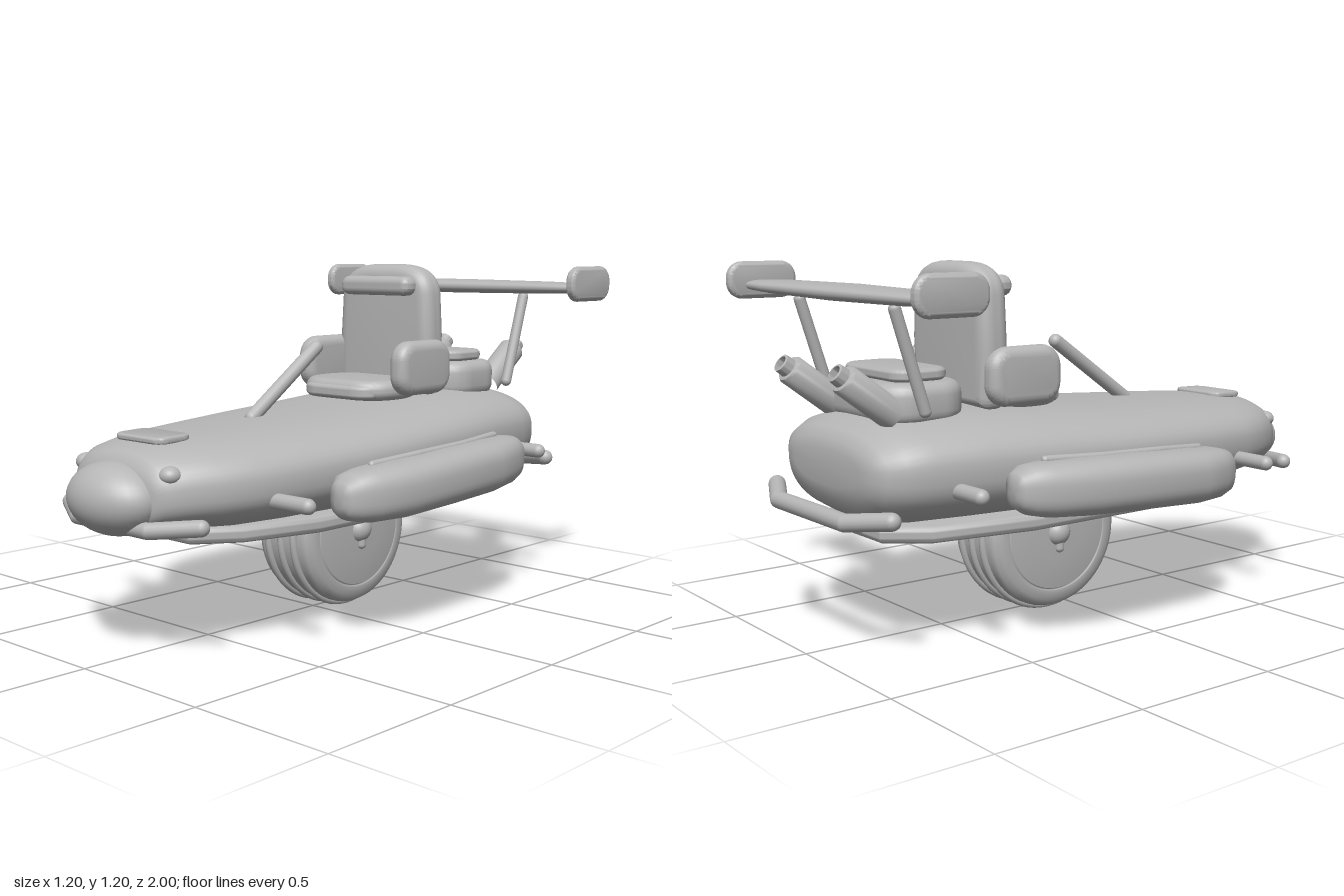
import * as THREE from 'three';
import { toCreasedNormals } from 'three/addons/utils/BufferGeometryUtils.js';

const V = (x, y, z) => new THREE.Vector3(x, y, z);

// Skin over cross-sections [z, cx, cy, halfWidth, up, down], ordered by growing z
function loft(sections, n = 2.4, ring = 40) {
  const pos = [], idx = [];
  const sgnPow = (v) => Math.sign(v) * Math.pow(Math.abs(v), 2 / n);
  for (const [z, cx, cy, w, up, down] of sections) {
    for (let j = 0; j < ring; j++) {
      const a = (j / ring) * Math.PI * 2, s = sgnPow(Math.sin(a));
      pos.push(cx + w * sgnPow(Math.cos(a)), cy + s * (s > 0 ? up : down), z);
    }
  }
  const last = sections.length - 1;
  for (let i = 0; i < last; i++) {
    for (let j = 0; j < ring; j++) {
      const k = (j + 1) % ring, a = i * ring + j, b = i * ring + k;
      idx.push(a, b, a + ring, b, b + ring, a + ring);
    }
  }
  // end caps
  for (const i of [0, last]) {
    const c = pos.length / 3;
    pos.push(sections[i][1], sections[i][2], sections[i][0]);
    for (let j = 0; j < ring; j++) {
      const a = i * ring + j, b = i * ring + (j + 1) % ring;
      if (i) idx.push(c, a, b); else idx.push(c, b, a);
    }
  }
  const g = new THREE.BufferGeometry();
  g.setAttribute('position', new THREE.Float32BufferAttribute(pos, 3));
  g.setIndex(idx);
  g.computeVertexNormals();
  return g;
}

// Extruded shape with a soft bevel, centred on its depth
function padded(shape, depth, bevel) {
  const g = new THREE.ExtrudeGeometry(shape, {
    depth: depth - 2 * bevel, bevelThickness: bevel, bevelSize: bevel, bevelOffset: -bevel,
    bevelSegments: 5, curveSegments: 10,
  });
  g.translate(0, 0, -(depth - 2 * bevel) / 2);
  return toCreasedNormals(g, 0.8);
}

// Rounded slab w x h, thickness d
function slab(w, h, d, r, bevel) {
  const s = new THREE.Shape(), x = w / 2, y = h / 2;
  s.moveTo(-x + r, -y);
  s.lineTo(x - r, -y); s.absarc(x - r, -y + r, r, -Math.PI / 2, 0);
  s.lineTo(x, y - r); s.absarc(x - r, y - r, r, 0, Math.PI / 2);
  s.lineTo(-x + r, y); s.absarc(-x + r, y - r, r, Math.PI / 2, Math.PI);
  s.lineTo(-x, -y + r); s.absarc(-x + r, -y + r, r, Math.PI, Math.PI * 1.5);
  return padded(s, d, bevel);
}
const flat = (...a) => slab(...a).rotateX(-Math.PI / 2);
const upright = (...a) => slab(...a).rotateY(Math.PI / 2);

export function createModel() {
  const model = new THREE.Group();
  model.name = 'hoverRacer';
  const grey = new THREE.MeshStandardMaterial({ color: 0xb6b6b6 });
  grey.name = 'grey';

  const add = (name, geo, x = 0, y = 0, z = 0) => {
    const m = new THREE.Mesh(geo, grey);
    m.name = name;
    m.position.set(x, y, z);
    model.add(m);
    return m;
  };
  const rod = (name, a, b, r) => {
    const m = add(name, new THREE.CapsuleGeometry(r, a.distanceTo(b) - 2 * r, 6, 16));
    m.position.copy(a).lerp(b, 0.5);
    m.quaternion.setFromUnitVectors(V(0, 1, 0), b.clone().sub(a).normalize());
    return m;
  };
  const ball = (name, rx, ry, rz, x, y, z) =>
    add(name, new THREE.SphereGeometry(1, 32, 20).scale(rx, ry, rz), x, y, z);
  // Bent bar with rounded joints
  const bar = (name, pts, r) => pts.slice(1).forEach((p, i) => {
    const dir = p.clone().sub(pts[i]).normalize().multiplyScalar(r);
    rod(name, pts[i].clone().sub(dir), p.clone().add(dir), r);
  });

  // Hull
  add('hull', loft([
    [-0.915, 0, 0.59, 0.2, 0.05, 0.06], [-0.905, 0, 0.59, 0.26, 0.085, 0.1],
    [-0.88, 0, 0.59, 0.31, 0.115, 0.14], [-0.83, 0, 0.59, 0.345, 0.142, 0.17],
    [-0.74, 0, 0.59, 0.37, 0.157, 0.185], [-0.55, 0, 0.59, 0.397, 0.167, 0.19],
    [-0.3, 0, 0.585, 0.418, 0.16, 0.19], [0, 0, 0.575, 0.418, 0.148, 0.185],
    [0.2, 0, 0.565, 0.402, 0.148, 0.175], [0.4, 0, 0.555, 0.377, 0.147, 0.165],
    [0.58, 0, 0.545, 0.35, 0.147, 0.15], [0.7, 0, 0.54, 0.31, 0.143, 0.135],
    [0.8, 0, 0.535, 0.257, 0.137, 0.12], [0.85, 0, 0.53, 0.22, 0.122, 0.108],
    [0.875, 0, 0.525, 0.19, 0.1, 0.095], [0.885, 0, 0.52, 0.14, 0.07, 0.07],
  ], 2.5, 56));
  ball('nose', 0.18, 0.115, 0.13, 0, 0.512, 0.868);
  add('hoodPanel', flat(0.23, 0.14, 0.02, 0.04, 0.008), 0, 0.685, 0.72).rotation.x = 0.03;

  // Floor plate
  const half = [[0.15, 0.71], [0.25, 0.57], [0.32, 0.3], [0.33, -0.35], [0.27, -0.7], [0.17, -0.83]];
  const outline = [...half, ...half.map(([x, z]) => [-x, z]).reverse()];
  const floor = new THREE.Shape(outline.map(([x, z]) => new THREE.Vector2(x, z)));
  add('floorPlate', padded(floor, 0.055, 0.02).rotateX(Math.PI / 2), 0, 0.387, 0);

  // Bumpers
  bar('frontBumper', [V(0.315, 0.452, 0.805), V(0.17, 0.435, 0.885), V(-0.17, 0.435, 0.885), V(-0.315, 0.452, 0.805)], 0.026);
  bar('rearBumper', [V(0.36, 0.475, -0.9), V(0.21, 0.455, -0.97), V(-0.21, 0.455, -0.97), V(-0.36, 0.475, -0.9)], 0.028);

  // Wheel: tyre with rounded shoulders, shallow side grooves and tread ribs
  const wheelY = 0.285, wheelZ = -0.105;
  const side = [[0, 0.135], [0.1, 0.133], [0.195, 0.127], [0.197, 0.12], [0.203, 0.12], [0.205, 0.126],
    [0.235, 0.121], [0.255, 0.108], [0.263, 0.09], [0.266, 0]];
  const profile = [...side.map(([r, x]) => new THREE.Vector2(r, -x)),
    ...side.slice(0, -1).reverse().map(([r, x]) => new THREE.Vector2(r, x))];
  add('tyre', new THREE.LatheGeometry(profile, 64).rotateZ(-Math.PI / 2), 0, wheelY, wheelZ);
  for (const x of [-0.06, 0, 0.06])
    add('treadRib', new THREE.TorusGeometry(0.266, 0.013, 10, 64).rotateY(Math.PI / 2), x, wheelY, wheelZ);

  // Seat
  add('seatCushion', flat(0.4, 0.3, 0.07, 0.13, 0.032), 0, 0.768, -0.25);
  add('seatFront', flat(0.34, 0.2, 0.05, 0.09, 0.022), 0, 0.762, -0.19);
  const back = new THREE.Shape();
  back.moveTo(-0.18, 0.74);
  back.lineTo(0.18, 0.74);
  back.quadraticCurveTo(0.205, 0.74, 0.207, 0.78);
  back.lineTo(0.217, 0.95);
  back.lineTo(0.208, 1.1);
  back.bezierCurveTo(0.2, 1.17, 0.15, 1.2, 0.06, 1.203);
  back.lineTo(-0.06, 1.203);
  back.bezierCurveTo(-0.15, 1.2, -0.2, 1.17, -0.208, 1.1);
  back.lineTo(-0.217, 0.95);
  back.lineTo(-0.207, 0.78);
  back.quadraticCurveTo(-0.205, 0.74, -0.18, 0.74);
  add('seatBack', padded(back, 0.11, 0.045), 0, 0, -0.415);
  add('headrest', slab(0.32, 0.068, 0.075, 0.033, 0.026), 0, 1.127, -0.345);
  rod('steeringStick', V(0, 0.69, 0.315), V(0, 0.935, -0.035), 0.024);

  // Engine cover behind the seat
  add('engineBase', flat(0.45, 0.3, 0.13, 0.11, 0.04), 0, 0.782, -0.66);
  add('engineLid', flat(0.36, 0.2, 0.04, 0.06, 0.018), 0, 0.866, -0.66);

  // Rear wing
  add('wing', loft([
    [-0.56, 0, 0, 0.05, 0.012, 0.012], [-0.545, 0, 0, 0.068, 0.018, 0.018],
    [-0.4, 0, 0, 0.085, 0.022, 0.022], [0, 0, 0, 0.095, 0.026, 0.026],
    [0.4, 0, 0, 0.085, 0.022, 0.022], [0.545, 0, 0, 0.068, 0.018, 0.018],
    [0.56, 0, 0, 0.05, 0.012, 0.012],
  ], 2.6).rotateY(Math.PI / 2), 0, 1.117, -0.83);

  // Side pod along z, for the +x side
  const podSections = [
    [-0.545, 0.47, 0.537, 0.025, 0.03, 0.03], [-0.535, 0.468, 0.537, 0.05, 0.055, 0.055],
    [-0.5, 0.468, 0.535, 0.072, 0.075, 0.075], [-0.44, 0.475, 0.532, 0.088, 0.084, 0.085],
    [-0.3, 0.49, 0.528, 0.107, 0.088, 0.09], [-0.1, 0.493, 0.52, 0.108, 0.09, 0.092],
    [0.15, 0.489, 0.508, 0.107, 0.088, 0.092], [0.27, 0.472, 0.503, 0.09, 0.082, 0.088],
    [0.33, 0.462, 0.5, 0.07, 0.072, 0.075], [0.36, 0.46, 0.498, 0.045, 0.05, 0.055],
    [0.368, 0.46, 0.498, 0.02, 0.025, 0.03],
  ];

  for (const s of [1, -1]) {
    const pod = podSections.map(([z, x, ...rest]) => [z, s * x, ...rest]);
    add('sidePod', loft(pod, 2.7));
    bar('podTrim', [V(s * 0.463, 0.588, 0.22), V(s * 0.486, 0.602, 0.02),
      V(s * 0.486, 0.61, -0.22), V(s * 0.463, 0.618, -0.42)], 0.013);
    rod('frontPeg', V(s * 0.3, 0.5, 0.53), V(s * 0.507, 0.5, 0.53), 0.025);
    rod('rearPeg', V(s * 0.3, 0.537, -0.67), V(s * 0.507, 0.537, -0.67), 0.025);
    ball('headlight', 0.035, 0.028, 0.035, s * 0.2, 0.597, 0.822);

    add('armrest', upright(0.28, 0.19, 0.076, 0.07, 0.034), s * 0.218, 0.845, -0.32);
    rod('wingStrut', V(s * 0.29, 0.755, -0.73), V(s * 0.29, 1.1, -0.84), 0.019);
    add('wingEndPlate', upright(0.25, 0.124, 0.036, 0.055, 0.016), s * 0.573, 1.134, -0.828);

    // Exhaust: stepped open pipe leaning back
    const pipe = [[0.048, 0], [0.048, 0.2], [0.043, 0.208], [0.032, 0.21], [0.03, 0.24], [0.022, 0.242],
      [0.02, 0.18], [0, 0.18]].map(([r, y]) => new THREE.Vector2(r, y));
    const exhaust = add('exhaust', toCreasedNormals(new THREE.LatheGeometry(pipe, 28), 0.7), s * 0.17, 0.752, -0.775);
    exhaust.rotation.x = -0.93;

    // Wheel hub and its short fork
    ball('hub', 0.045, 0.047, 0.047, s * 0.12, wheelY, wheelZ);
    rod('hubStud', V(s * 0.135, 0.215, wheelZ), V(s * 0.135, 0.29, wheelZ), 0.016);
    rod('fork', V(s * 0.138, 0.29, wheelZ), V(s * 0.138, 0.4, wheelZ), 0.011);
  }
  return model;
}
